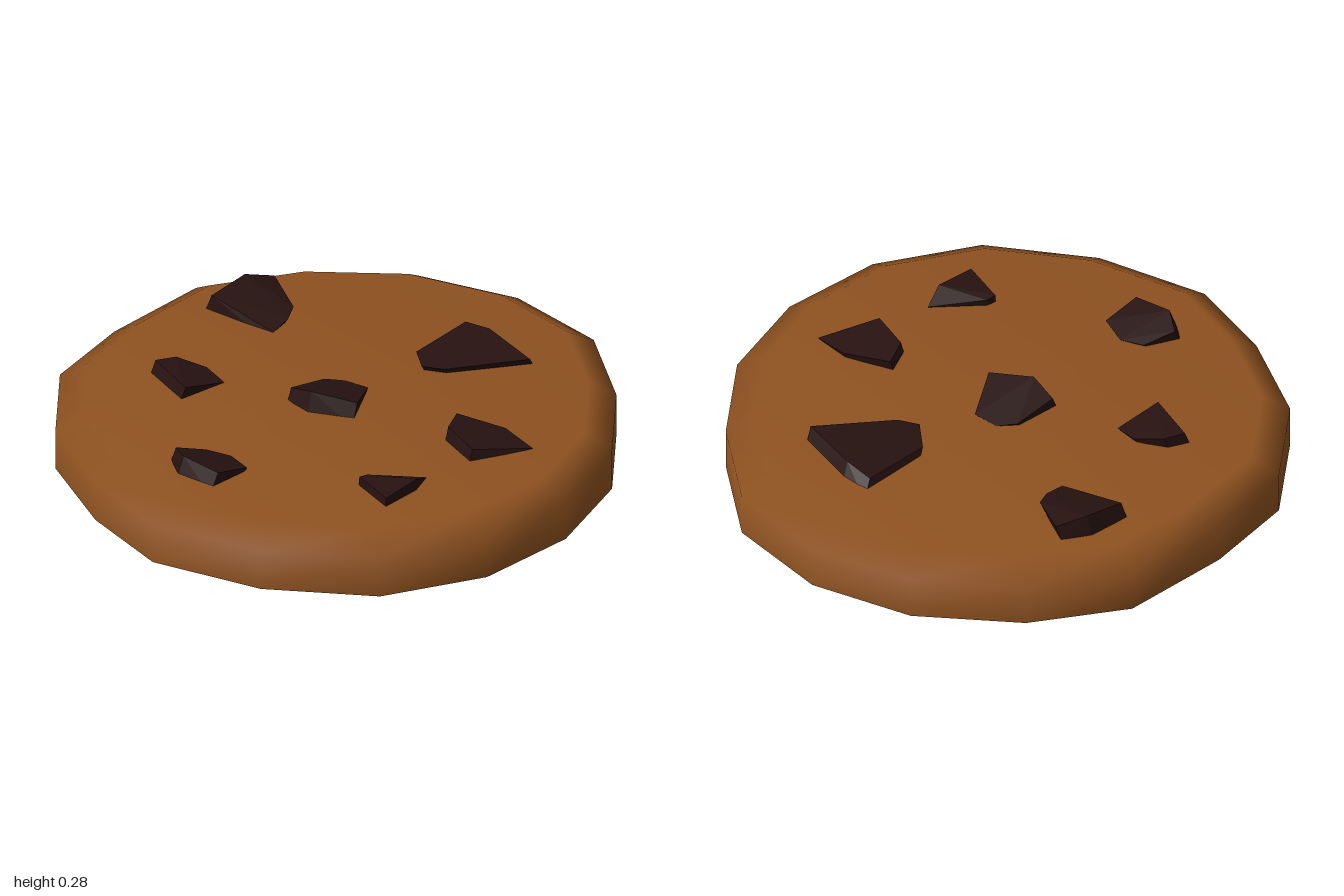
import * as THREE from 'three';
import { ConvexGeometry } from 'three/addons/geometries/ConvexGeometry.js';

const TOP = 0.21;

// Hand-shaped rim, as [x, z] corners going round from the back
const RIM = [
  [0.01, -1], [0.39, -0.94], [0.72, -0.73], [0.9, -0.38],
  [0.99, 0], [0.93, 0.38], [0.74, 0.71], [0.42, 0.94],
  [0.01, 1], [-0.4, 0.92], [-0.67, 0.69], [-0.9, 0.38],
  [-0.99, 0], [-0.89, -0.34], [-0.7, -0.71], [-0.38, -0.91],
];

// Chips: top corners [x, z, y]; shift moves the buried base sideways
const CHIPS = [
  { name: 'centreChip', shift: [-0.01, 0.03], top: [[-0.15, 0.04, 0.25], [-0.07, -0.1, 0.22],
    [0, -0.125, 0.21], [0.09, -0.09, 0.215], [0.105, 0.1, 0.26], [-0.06, 0.1, 0.28]] },
  { name: 'backRightChip', shift: [-0.03, 0], top: [[-0.58, -0.48, 0.265], [-0.5, -0.62, 0.285],
    [-0.41, -0.68, 0.26], [-0.3, -0.53, 0.235], [-0.3, -0.46, 0.225], [-0.33, -0.38, 0.21]] },
  { name: 'backLeftChip', shift: [0, -0.06], top: [[0.19, -0.35, 0.23], [0.3, -0.59, 0.235],
    [0.4, -0.54, 0.25], [0.59, -0.38, 0.245], [0.32, -0.24, 0.24], [0.24, -0.24, 0.24]] },
  { name: 'rightChip', shift: [-0.02, 0.02], top: [[-0.65, -0.01, 0.255], [-0.59, -0.06, 0.25],
    [-0.48, -0.06, 0.225], [-0.4, 0, 0.21], [-0.5, 0.14, 0.25]] },
  { name: 'leftChip', shift: [-0.01, 0.02], top: [[0.45, 0.06, 0.25], [0.63, 0.08, 0.23],
    [0.75, 0.16, 0.212], [0.57, 0.29, 0.25], [0.45, 0.17, 0.257]] },
  { name: 'frontRightChip', shift: [-0.02, 0.03], top: [[-0.42, 0.55, 0.25], [-0.33, 0.48, 0.217],
    [-0.24, 0.49, 0.212], [-0.16, 0.57, 0.22], [-0.23, 0.69, 0.255], [-0.37, 0.635, 0.27]] },
  { name: 'frontLeftChip', shift: [0, 0.01], top: [[0.24, 0.56, 0.24], [0.26, 0.53, 0.235],
    [0.45, 0.455, 0.212], [0.44, 0.54, 0.25], [0.37, 0.68, 0.24]] },
];

// Smooth dough: wall, bevel and flat top share vertices
function doughGeometry() {
  const rings = [[1, 0], [1, 0.15], [0.9, TOP]];
  const n = RIM.length;
  const positions = [];
  const index = [];
  for (const [s, y] of rings) for (const [x, z] of RIM) positions.push(x * s, y, z * s);
  const centre = rings.length * n;
  positions.push(0, TOP, 0);
  for (let i = 0; i < n; i++) {
    const j = (i + 1) % n;
    for (let r = 0; r < rings.length - 1; r++) {
      const a = r * n + i, b = r * n + j;
      index.push(a, a + n, b, b, a + n, b + n);
    }
    const last = (rings.length - 1) * n;
    index.push(last + i, centre, last + j);
  }
  const g = new THREE.BufferGeometry();
  g.setAttribute('position', new THREE.Float32BufferAttribute(positions, 3));
  g.setIndex(index);
  g.computeVertexNormals();
  return g;
}

// Angular chunk with a slanted top and a base sunk into the dough
function chipGeometry({ top, shift }) {
  const points = [];
  for (const [x, z, y] of top) {
    points.push(new THREE.Vector3(x, y, z));
    points.push(new THREE.Vector3(x + shift[0], TOP - 0.03, z + shift[1]));
  }
  return new ConvexGeometry(points);
}

export function createModel() {
  const group = new THREE.Group();
  group.name = 'cookie';
  const doughMat = new THREE.MeshStandardMaterial({ color: 0x8f5220 });
  const chipMat = new THREE.MeshStandardMaterial({ color: 0x261211, flatShading: true });

  const add = (name, geometry, material) => {
    const mesh = new THREE.Mesh(geometry, material);
    mesh.name = name;
    group.add(mesh);
    return mesh;
  };

  add('dough', doughGeometry(), doughMat);

  // Flat underside, kept separate for a sharp bottom edge
  const outline = new THREE.Shape(RIM.map(([x, z]) => new THREE.Vector2(x, z)));
  add('underside', new THREE.ShapeGeometry(outline).rotateX(Math.PI / 2), doughMat);

  for (const chip of CHIPS) add(chip.name, chipGeometry(chip), chipMat);
  return group;
}
